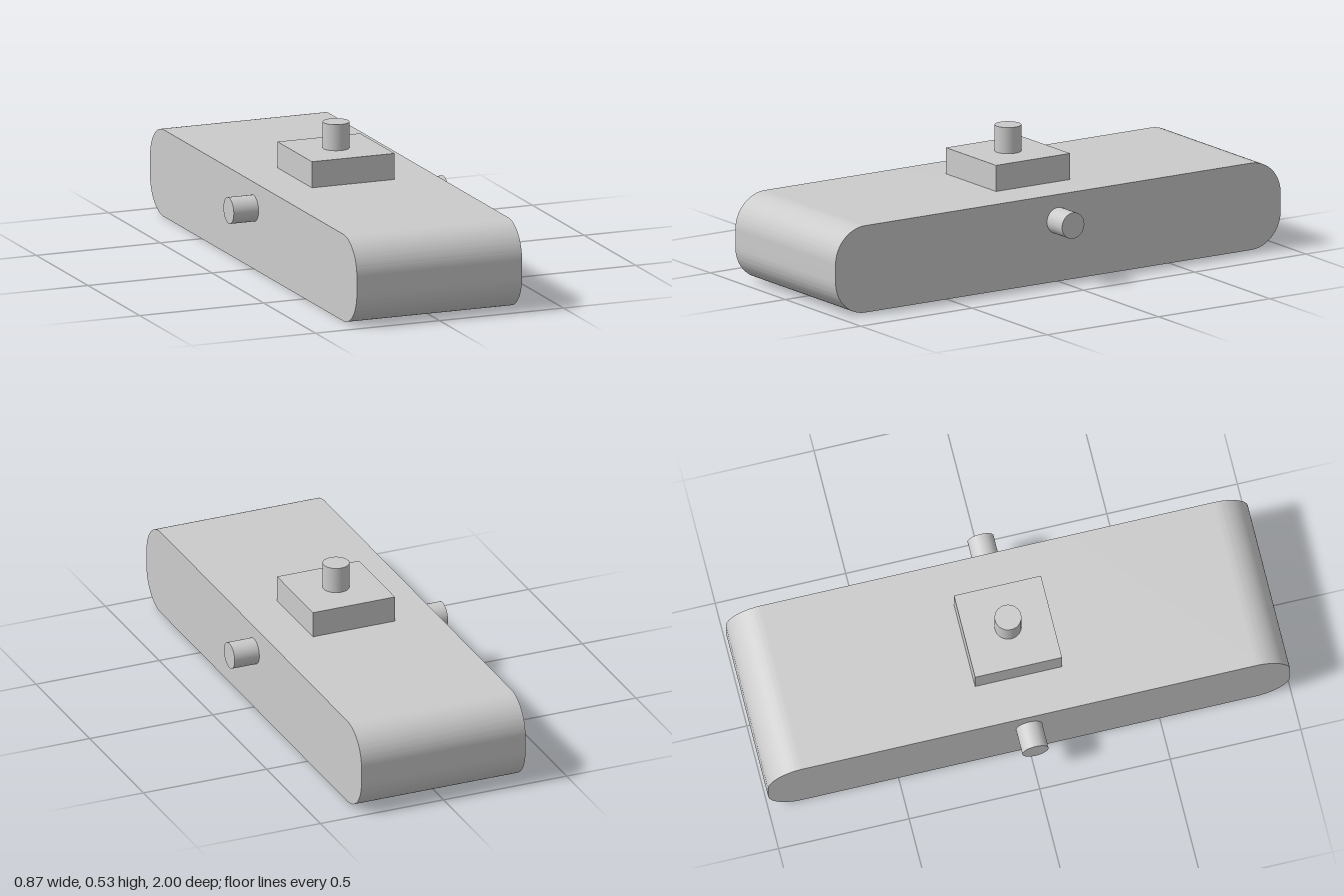
import * as THREE from 'three';
import { toCreasedNormals } from 'three/addons/utils/BufferGeometryUtils.js';

const WIDTH = 0.666, HEIGHT = 0.333, HALF_LENGTH = 1, RADIUS = 0.133;
const PIN_RADIUS = 0.05, PIN_LENGTH = 0.1;

// Rounded rectangle along the length of the body
function sideProfile() {
  const shape = new THREE.Shape();
  const inner = HALF_LENGTH - RADIUS;
  shape.absarc(inner, RADIUS, RADIUS, -Math.PI / 2, 0);
  shape.absarc(inner, HEIGHT - RADIUS, RADIUS, 0, Math.PI / 2);
  shape.absarc(-inner, HEIGHT - RADIUS, RADIUS, Math.PI / 2, Math.PI);
  shape.absarc(-inner, RADIUS, RADIUS, Math.PI, Math.PI * 1.5);
  shape.closePath();
  return shape;
}

export function createModel() {
  const model = new THREE.Group();
  model.name = 'roundedBlockWithPins';
  const grey = new THREE.MeshStandardMaterial({ color: 0xcccccc });

  const add = (name, geometry, x, y, z) => {
    const mesh = new THREE.Mesh(geometry, grey);
    mesh.name = name;
    mesh.position.set(x, y, z);
    model.add(mesh);
    return mesh;
  };

  // Long body with rounded ends
  const bodyGeometry = new THREE.ExtrudeGeometry(sideProfile(), {
    depth: WIDTH, bevelEnabled: false, curveSegments: 24,
  });
  bodyGeometry.translate(0, 0, -WIDTH / 2).rotateY(-Math.PI / 2);
  add('body', toCreasedNormals(bodyGeometry, Math.PI / 6), 0, 0, 0);

  // Square block on top, carrying an upright pin
  add('topBlock', new THREE.BoxGeometry(0.333, 0.1, 0.333), 0, HEIGHT + 0.05, 0);
  const pin = new THREE.CylinderGeometry(PIN_RADIUS, PIN_RADIUS, PIN_LENGTH, 48);
  add('topPin', pin, 0, HEIGHT + 0.1 + PIN_LENGTH / 2, 0);

  // Pin on each side
  for (const [name, side] of [['leftPin', 1], ['rightPin', -1]]) {
    const mesh = add(name, pin, side * (WIDTH + PIN_LENGTH) / 2, 0.233, 0);
    mesh.rotation.z = -side * Math.PI / 2;
  }

  return model;
}
